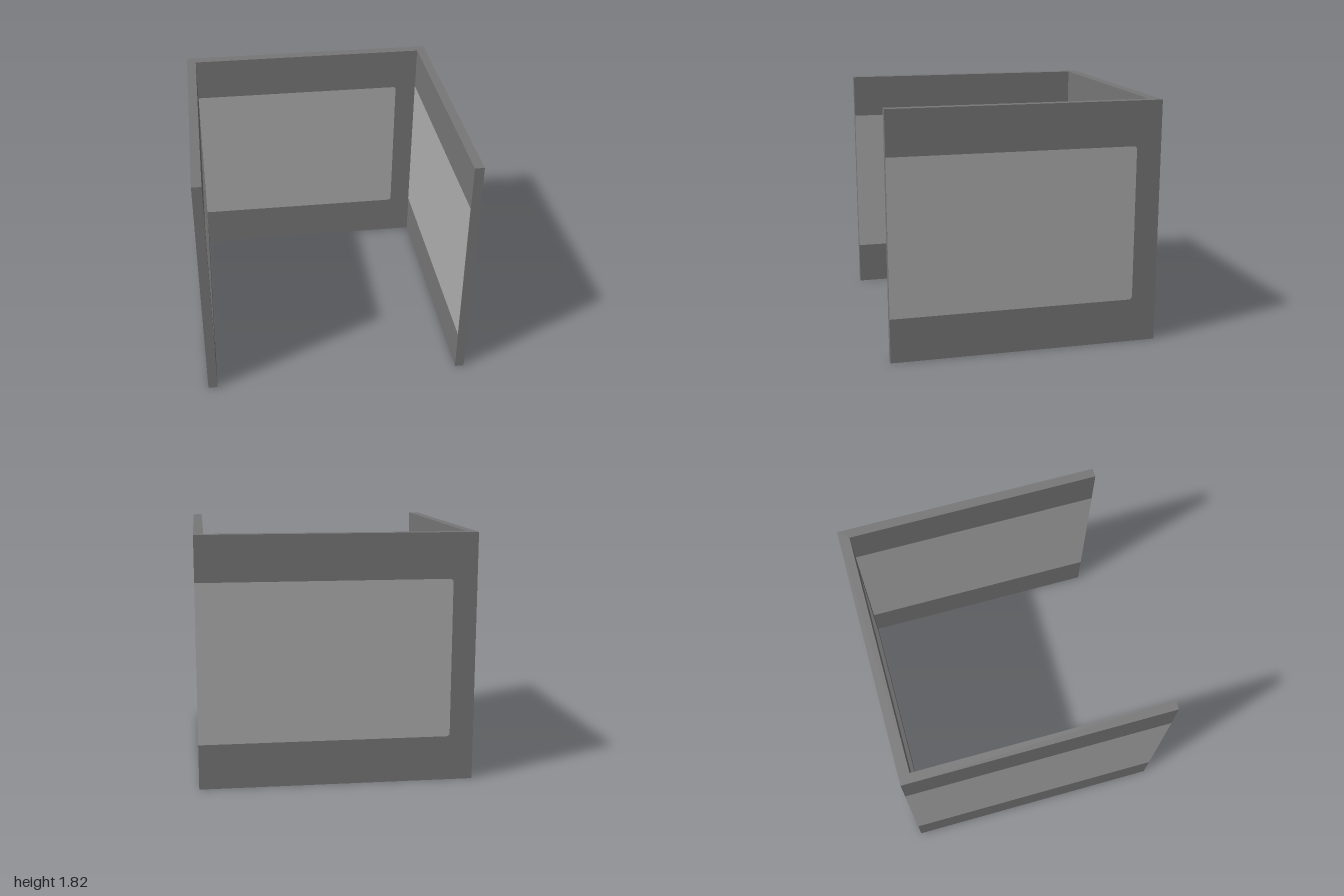
import * as THREE from 'three';

const HEIGHT = 1.82, SIDE = 0.07, BACK = 0.08; // wall height and thicknesses
const BOTTOM = 0.33, TOP = 1.49;               // panel band
const RADIUS = 0.025, GAP = 0.002;             // panel corner radius, lift off the wall

const wallGrey = new THREE.MeshStandardMaterial({ color: 0x767676 });
wallGrey.name = 'wallGrey';
const panelGrey = new THREE.MeshStandardMaterial({ color: 0xaeaeae });
panelGrey.name = 'panelGrey';

// Thin panel running to the right from a wall end; the far corners may be rounded
function panel(name, width, rounded, x, z, turn) {
  const s = new THREE.Shape();
  const r = rounded ? RADIUS : 0;
  s.moveTo(0, BOTTOM);
  s.lineTo(width - r, BOTTOM);
  if (r) s.absarc(width - r, BOTTOM + r, r, -Math.PI / 2, 0);
  else s.lineTo(width, BOTTOM);
  s.lineTo(width, TOP - r);
  if (r) s.absarc(width - r, TOP - r, r, 0, Math.PI / 2);
  s.lineTo(0, TOP);
  const geometry = new THREE.ShapeGeometry(s, 6);
  geometry.translate(0, 0, GAP);
  const mesh = new THREE.Mesh(geometry, panelGrey);
  mesh.name = name;
  mesh.position.set(x, 0, z);
  mesh.rotation.y = turn;
  return mesh;
}

export function createModel() {
  const group = new THREE.Group();
  group.name = 'threeWallEnclosure';

  // U-shaped walls, open at the front
  const inner = 1 - SIDE, back = 1 - BACK;
  const plan = new THREE.Shape([
    [-1, -1], [-inner, -1], [-inner, back], [inner, back],
    [inner, -1], [1, -1], [1, 1], [-1, 1],
  ].map(([x, y]) => new THREE.Vector2(x, y)));
  const geometry = new THREE.ExtrudeGeometry(plan, { depth: HEIGHT, bevelEnabled: false });
  geometry.rotateX(-Math.PI / 2);
  const walls = new THREE.Mesh(geometry, wallGrey);
  walls.name = 'walls';
  group.add(walls);

  // Light panels on the outside and inside of each wall
  const q = Math.PI / 2;
  group.add(
    panel('leftOuterPanel', 1.815, true, 1, 1, q),
    panel('backOuterPanel', 1.825, true, 1, -1, Math.PI),
    panel('rightOuterPanel', 2, false, -1, -1, -q),
    panel('rightInnerPanel', 1.75, true, -inner, 1, q),
    panel('backInnerPanel', 1.69, true, -inner, -back, 0),
    panel('leftInnerPanel', 1 + back, false, inner, -back, -q),
  );
  return group;
}
